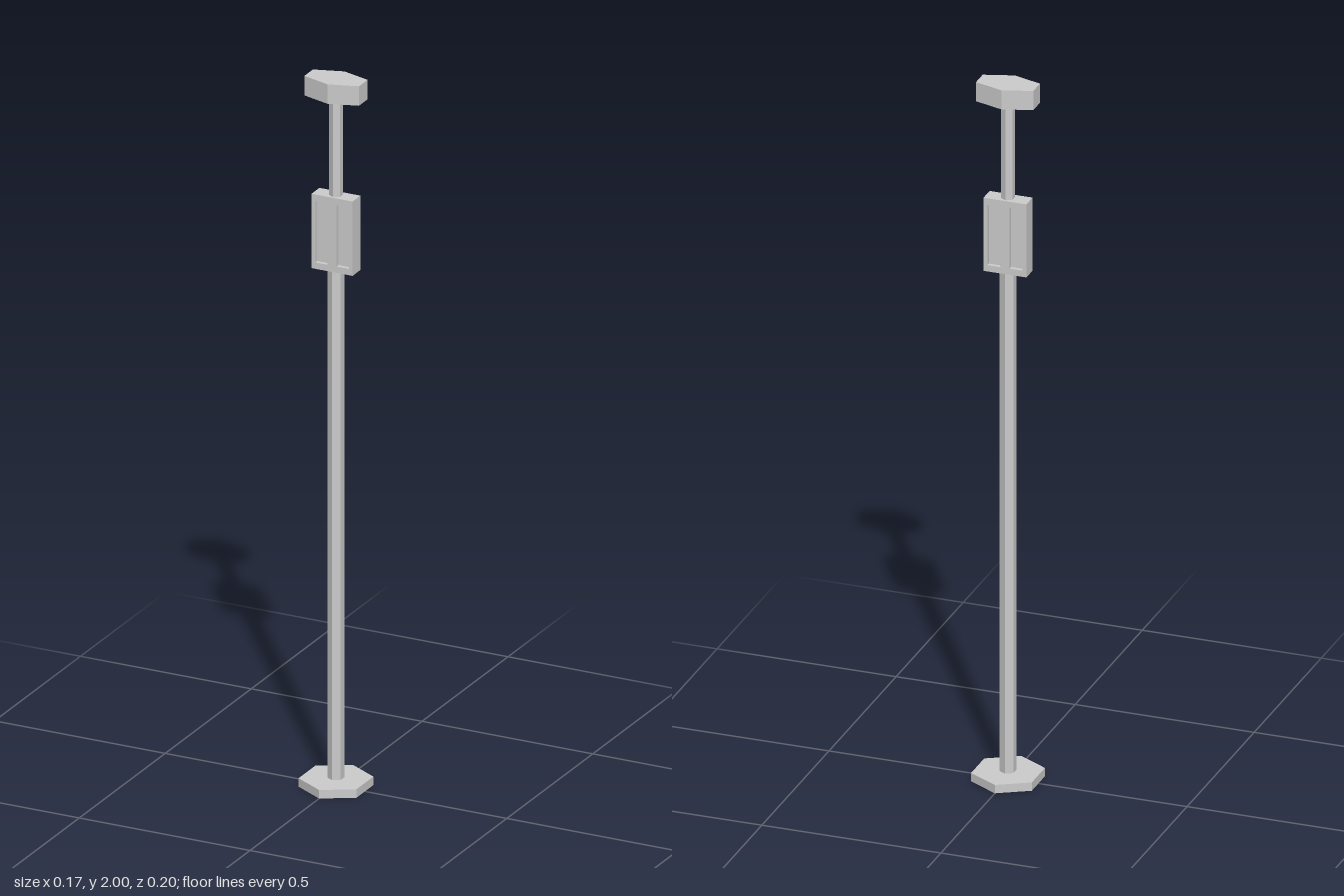
import * as THREE from 'three';

const material = new THREE.MeshStandardMaterial({ color: 0xcccccc, flatShading: true });

// Closed polygon path from [x, y] pairs
function outline(points, PathType = THREE.Shape) {
  return new PathType(points.map(([x, y]) => new THREE.Vector2(x, y)));
}

function rectangle(x0, x1, y0, y1) {
  return [[x0, y0], [x1, y0], [x1, y1], [x0, y1]];
}

export function createModel() {
  const model = new THREE.Group();
  model.name = 'hexagonalPost';

  function add(name, geometry, y = 0) {
    const mesh = new THREE.Mesh(geometry, material);
    mesh.name = name;
    mesh.position.y = y;
    model.add(mesh);
    return mesh;
  }

  // Six-sided prism with corners on the z axis
  function hexPrism(name, radius, y0, y1) {
    add(name, new THREE.CylinderGeometry(radius, radius, y1 - y0, 6), (y0 + y1) / 2);
  }

  // Foot and the two pole sections
  hexPrism('basePlate', 0.098, 0, 0.024);
  hexPrism('lowerPole', 0.022, 0.024, 1.48);
  hexPrism('upperPole', 0.018, 1.65, 1.95);

  // Panel frame with two windows, open through to the backing plate
  const [bottom, top, halfDepth] = [1.46, 1.67, 0.023];
  const frame = outline(rectangle(-0.06, 0.06, bottom, top));
  for (const side of [-1, 1]) {
    frame.holes.push(outline(
      rectangle(side * 0.031 - 0.018, side * 0.031 + 0.018, bottom + 0.018, top - 0.018), THREE.Path));
  }
  const frameGeometry = new THREE.ExtrudeGeometry(frame, { depth: halfDepth * 2, bevelEnabled: false });
  frameGeometry.translate(0, 0, -halfDepth);
  add('panelFrame', frameGeometry);
  add('panelBacking', new THREE.BoxGeometry(0.11, top - bottom - 0.02, 0.024), (bottom + top) / 2);

  // Stretched six-sided head
  const headShape = outline([
    [0, 0.05], [-0.08, 0.025], [-0.08, -0.025], [0, -0.05], [0.08, -0.025], [0.08, 0.025],
  ]);
  const headGeometry = new THREE.ExtrudeGeometry(headShape, { depth: 0.055, bevelEnabled: false });
  headGeometry.rotateX(-Math.PI / 2);
  add('head', headGeometry, 1.945);

  return model;
}
